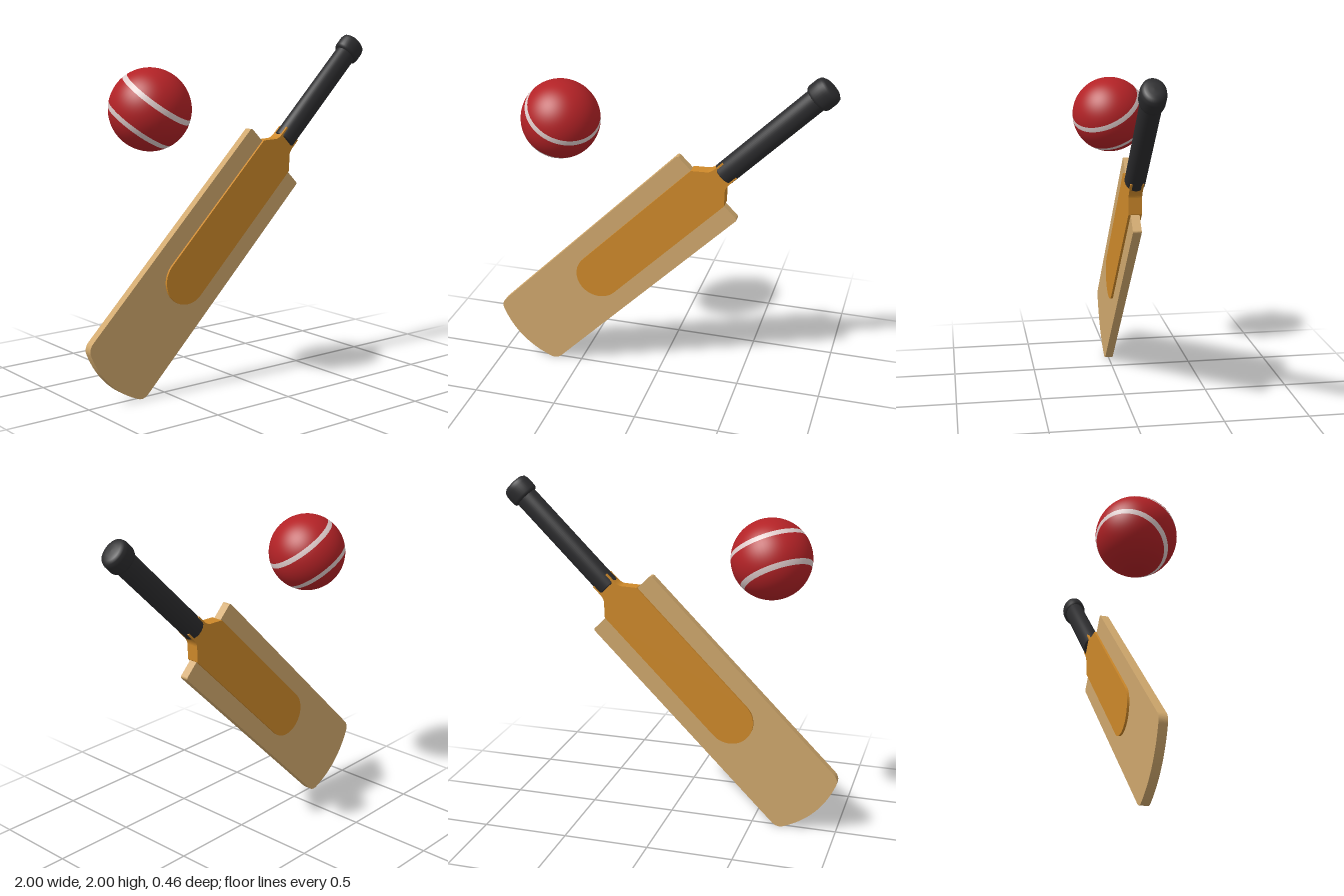
import * as THREE from 'three';

const mat = (name, color) => {
  const m = new THREE.MeshStandardMaterial({ color });
  m.name = name;
  return m;
};

const part = (name, geometry, material) => {
  const m = new THREE.Mesh(geometry, material);
  m.name = name;
  return m;
};

// Flat slab centred on z = 0
const slab = (shape, thickness) =>
  new THREE.ExtrudeGeometry(shape, { depth: thickness, bevelEnabled: false, curveSegments: 16 })
    .translate(0, 0, -thickness / 2);

// Lathe flattened to an oval section
const oval = (points, depthRatio) =>
  new THREE.LatheGeometry(points.map(([r, y]) => new THREE.Vector2(r, y)), 40).scale(1, 1, depthRatio);

export function createModel() {
  const model = new THREE.Group();
  const willow = mat('pale wood', 0xd0a86d);
  const cane = mat('orange wood', 0xce892a);
  const rubber = mat('black grip', 0x2b2b2d);
  const red = mat('red leather', 0xb32226);
  const white = mat('off white stitching', 0xdfcccb);

  // Bat, built upright and then leaned over
  const bat = new THREE.Group();
  bat.name = 'bat';
  bat.position.y = 1;
  bat.rotation.z = -Math.PI / 4;
  model.add(bat);

  // Blade with a rounded toe
  const blade = new THREE.Shape();
  blade.moveTo(0.235, 0.42);
  blade.lineTo(-0.235, 0.42);
  blade.quadraticCurveTo(-0.25, 0.42, -0.25, 0.405);
  blade.lineTo(-0.25, -1.13);
  blade.quadraticCurveTo(-0.25, -1.175, -0.215, -1.192);
  blade.quadraticCurveTo(0, -1.285, 0.215, -1.192);
  blade.quadraticCurveTo(0.25, -1.175, 0.25, -1.13);
  blade.lineTo(0.25, 0.405);
  blade.quadraticCurveTo(0.25, 0.42, 0.235, 0.42);
  bat.add(part('blade', slab(blade, 0.049), willow));

  // Splice: round lower end, tapering neck that enters the grip
  const w = 0.138;
  const splice = new THREE.Shape();
  splice.moveTo(0.06, 0.6);
  splice.lineTo(-0.06, 0.6);
  splice.lineTo(-0.06, 0.545);
  splice.quadraticCurveTo(-0.06, 0.505, -0.078, 0.488);
  splice.lineTo(-w, 0.424);
  splice.lineTo(-w, -0.512);
  splice.absarc(0, -0.512, w, Math.PI, Math.PI * 2, false);
  splice.lineTo(w, 0.424);
  splice.lineTo(0.078, 0.488);
  splice.quadraticCurveTo(0.06, 0.505, 0.06, 0.545);
  bat.add(part('splice', slab(splice, 0.075), cane));

  // Grip and its rounded end knob
  const grip = [[0, 0.54], [0.06, 0.54], [0.067, 0.547], [0.067, 1.27], [0, 1.27]];
  bat.add(part('grip', oval(grip, 0.85), rubber));
  const knob = [[0, 1.24], [0.066, 1.24], [0.08, 1.246], [0.085, 1.26], [0.085, 1.315],
    [0.078, 1.338], [0.06, 1.35], [0.035, 1.354], [0, 1.355]];
  bat.add(part('gripKnob', oval(knob, 0.81), rubber));

  // Ball: red zones separated by two pale rings
  const ball = new THREE.Group();
  ball.name = 'ball';
  ball.position.set(-0.576, 1.615, 0);
  ball.quaternion.setFromUnitVectors(
    new THREE.Vector3(0, 1, 0), new THREE.Vector3(0.42, 0.805, 0.42).normalize());
  model.add(ball);
  const cuts = [1, 0.375, 0.25, -0.4, -0.525, -1].map(Math.acos);
  const names = ['ballTop', 'upperStripe', 'ballMiddle', 'lowerStripe', 'ballBottom'];
  names.forEach((name, i) => {
    const zone = new THREE.SphereGeometry(0.228, 64, i % 2 ? 4 : 16, 0, Math.PI * 2,
      cuts[i], cuts[i + 1] - cuts[i]);
    ball.add(part(name, zone, i % 2 ? white : red));
  });

  return model;
}
